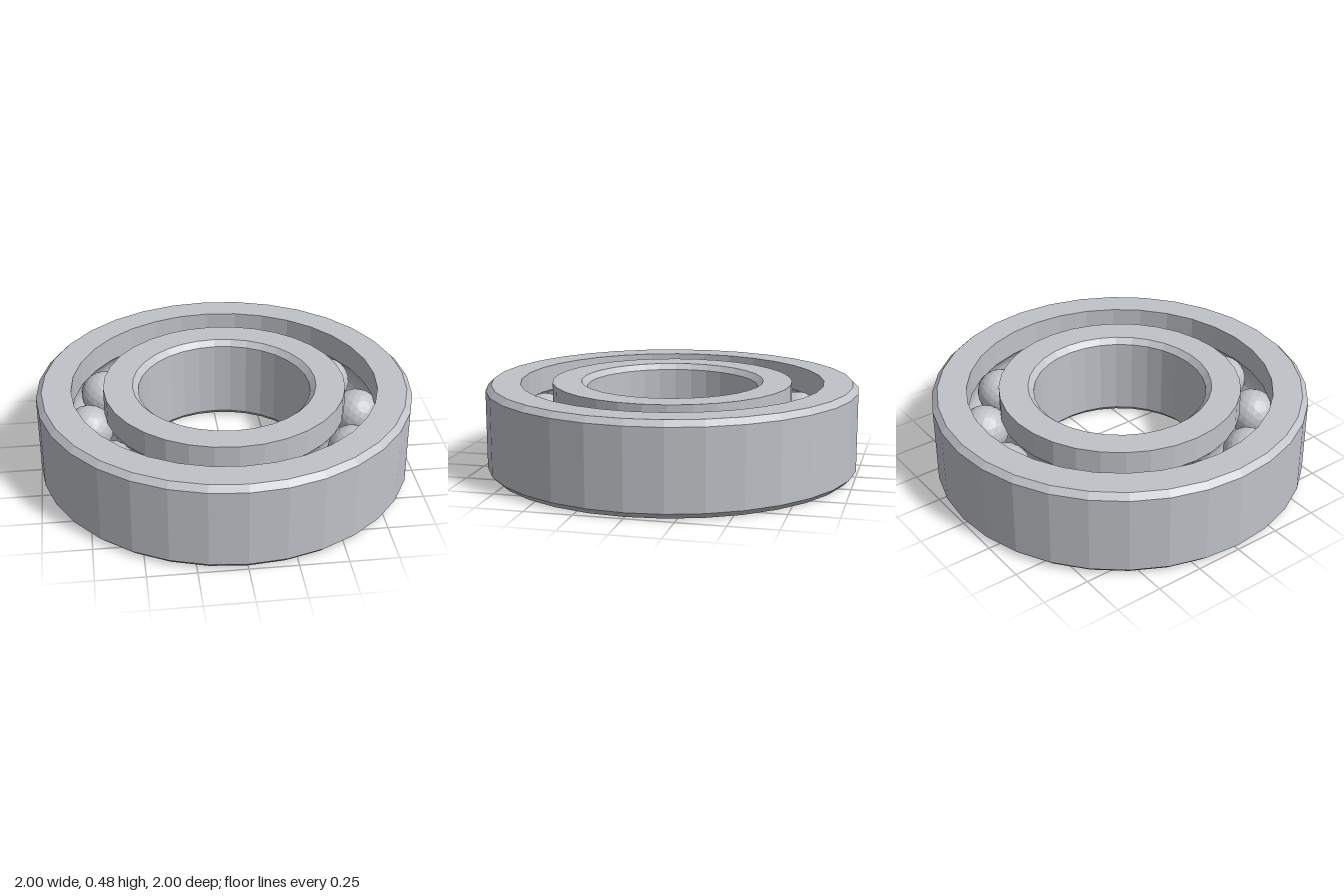
import * as THREE from 'three';

const HEIGHT = 0.48, MID = HEIGHT / 2, BEVEL = 0.03;
const PITCH = 0.73, BALL_RADIUS = 0.13, GROOVE_RADIUS = 0.132;
const SEGMENTS = 32, BALLS = 12;

// Rounded ball track cut into a ring wall; dir is +1 for the outer ring, -1 for the inner
function groove(wallRadius, dir) {
  const half = Math.acos(Math.abs(wallRadius - PITCH) / GROOVE_RADIUS);
  const points = [];
  for (let i = 0; i <= 8; i++) {
    const a = half * (1 - i / 4) * dir;
    points.push([PITCH + dir * GROOVE_RADIUS * Math.cos(a), MID + GROOVE_RADIUS * Math.sin(a)]);
  }
  return points;
}

function ring(name, profile, material) {
  const points = [...profile, profile[0]].map(([r, y]) => new THREE.Vector2(r, y));
  const mesh = new THREE.Mesh(new THREE.LatheGeometry(points, SEGMENTS), material);
  mesh.name = name;
  return mesh;
}

export function createModel() {
  const model = new THREE.Group();
  model.name = 'ballBearing';
  const steel = new THREE.MeshStandardMaterial({ color: 0xbfc2c8, flatShading: true });
  steel.name = 'steel';

  // Outer race: bevelled outside, ball track on its inner wall
  const outerWall = 0.815;
  model.add(ring('outerRace', [
    [outerWall, 0], [1 - BEVEL, 0], [1, BEVEL], [1, HEIGHT - BEVEL], [1 - BEVEL, HEIGHT],
    [outerWall, HEIGHT], ...groove(outerWall, 1),
  ], steel));

  // Inner race: bevelled bore, ball track on its outer wall
  const innerWall = 0.645, bore = 0.46;
  model.add(ring('innerRace', [
    [bore + BEVEL, 0], [innerWall, 0], ...groove(innerWall, -1), [innerWall, HEIGHT],
    [bore + BEVEL, HEIGHT], [bore, HEIGHT - BEVEL], [bore, BEVEL],
  ], steel));

  // Balls spaced evenly around the track
  const balls = new THREE.Group();
  balls.name = 'balls';
  const ballGeometry = new THREE.IcosahedronGeometry(BALL_RADIUS, 3);
  for (let i = 0; i < BALLS; i++) {
    const angle = (i / BALLS) * Math.PI * 2;
    const ball = new THREE.Mesh(ballGeometry, steel);
    ball.name = 'ball';
    ball.position.set(PITCH * Math.sin(angle), MID, PITCH * Math.cos(angle));
    balls.add(ball);
  }
  model.add(balls);
  return model;
}
